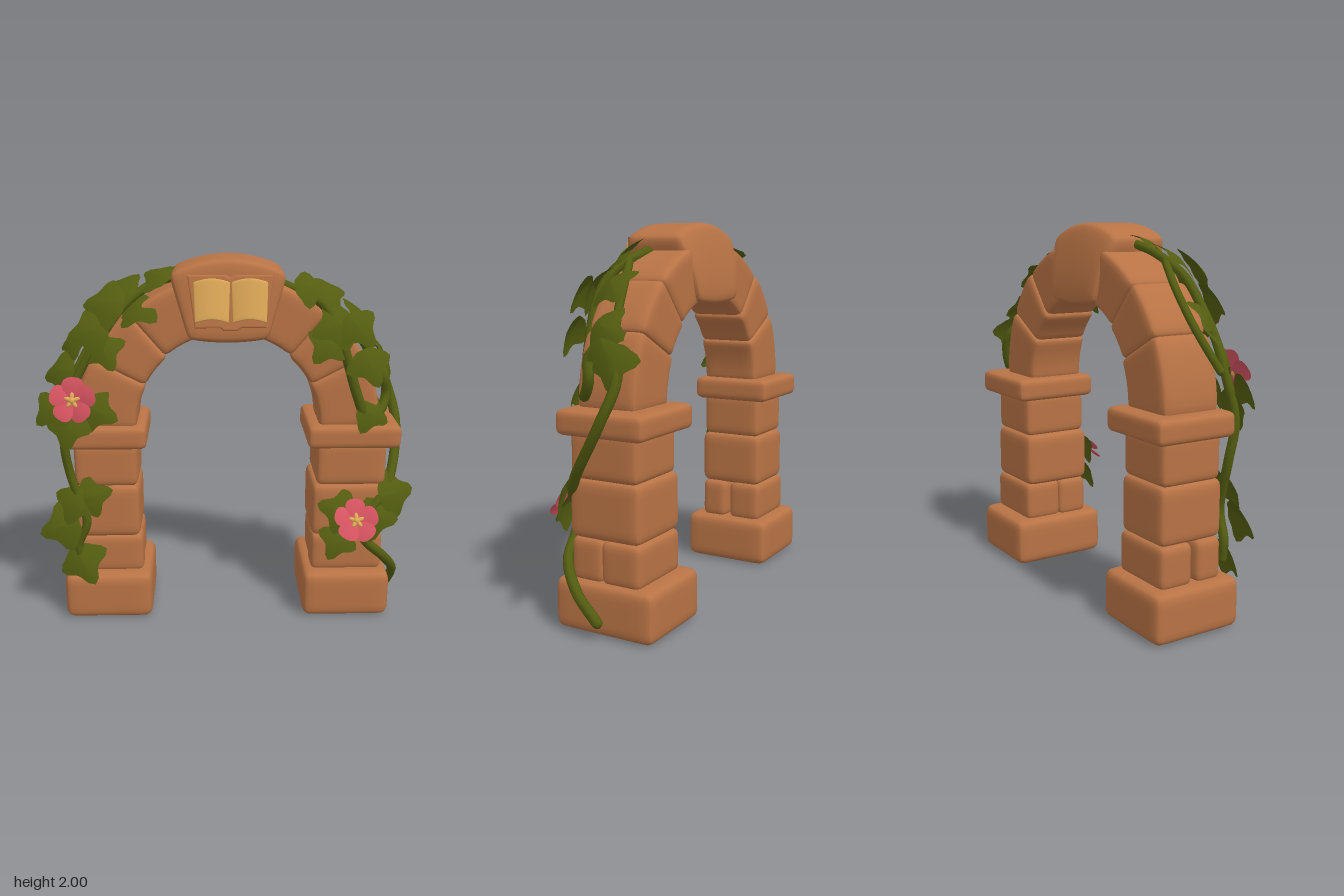
import * as THREE from 'three';
import { mergeVertices } from 'three/addons/utils/BufferGeometryUtils.js';

const mat = (name, color, extra = {}) => Object.assign(new THREE.MeshStandardMaterial({ color, ...extra }), { name });
const deg = Math.PI / 180;

// Moves every vertex by a rule, then smooths the surface.
function warp(geo, rule) {
  geo.deleteAttribute('uv');
  geo.deleteAttribute('normal');
  const p = geo.attributes.position, v = new THREE.Vector3();
  for (let i = 0; i < p.count; i++) {
    rule(v.fromBufferAttribute(p, i));
    p.setXYZ(i, v.x, v.y, v.z);
  }
  const out = mergeVertices(geo, 1e-5);
  out.computeVertexNormals();
  return out;
}

// Soft-edged stone centred on the origin; an optional rule bends it afterwards.
function stoneGeometry(w, h, d, r, rule = () => {}) {
  const half = new THREE.Vector3(w / 2, h / 2, d / 2);
  const core = half.clone().subScalar(r), inner = new THREE.Vector3();
  return warp(new THREE.BoxGeometry(2, 2, 2, 12, 12, 12), v => {
    for (const a of ['x', 'y', 'z']) v[a] = Math.sin(v[a] * Math.PI / 2) * half[a];
    inner.copy(v).clamp(core.clone().negate(), core);
    v.sub(inner);
    if (v.lengthSq() > 1e-12) v.setLength(r);
    v.add(inner);
    rule(v);
  });
}

// Thin sheet whose outline radius depends on the angle from the tip (+y).
const sheetGeometry = (radius, rule) => warp(new THREE.RingGeometry(0.001, 1, 24, 4), v => {
  v.multiplyScalar(radius(Math.abs(Math.atan2(v.x, v.y))));
  rule(v);
});

export function createModel() {
  const model = new THREE.Group();
  model.name = 'floweringArch';
  const stone = mat('terracotta stone', 0xb87345);
  const green = mat('vine green', 0x535c10, { side: THREE.DoubleSide });
  const pink = mat('petal pink', 0xd2525f, { side: THREE.DoubleSide });
  const gold = mat('page gold', 0xe0aa58);

  const add = (name, geo, material, parent = model) => {
    const m = new THREE.Mesh(geo, material);
    m.name = name;
    parent.add(m);
    return m;
  };
  // Stone given by its extents on each axis.
  const block = (name, x0, x1, y0, y1, z0, z1, r = 0.04) =>
    add(name, stoneGeometry(x1 - x0, y1 - y0, z1 - z0, r), stone)
      .position.set((x0 + x1) / 2, (y0 + y1) / 2, (z0 + z1) / 2);

  // Pillars: the right one is slightly shallower, by back and front insets
  for (const side of [1, -1]) {
    const left = side > 0, prefix = left ? 'left' : 'right';
    const back = left ? 0 : 0.02, front = left ? 0 : -0.01;
    const pillar = (part, near, far, y0, y1, z0, z1, r) => block(prefix + part,
      Math.min(side * near, side * far), Math.max(side * near, side * far), y0, y1, z0 + back, z1 + front, r);
    pillar('Base', 0.423, 0.908, 0, 0.265, left ? -0.34 : -0.32, 0.225, 0.05);
    pillar('LowerStoneFront', 0.47, left ? 0.87 : 0.85, 0.25, 0.475, -0.04, 0.145);
    pillar('LowerStoneBack', 0.475, left ? 0.875 : 0.85, 0.25, 0.475, -0.255, -0.03);
    pillar('MiddleStone', left ? 0.467 : 0.482, left ? 0.87 : 0.84, 0.465, 0.77, -0.25, 0.155, 0.045);
    pillar('UpperStone', 0.488, left ? 0.87 : 0.835, 0.76, 1.01, -0.24, 0.145);
    pillar('Capital', 0.435, left ? 0.94 : 0.9, 0.982, 1.11, -0.31, 0.18, 0.035);
  }

  // Wedge stones bent around the arch centre
  const rMid = 0.655;
  for (const side of [1, -1]) {
    [[-1, 28, 0.33], [27, 50, 0.32], [49, 74, 0.3]].forEach(([a, b, w], i) => {
      const mid = (a + b) / 2 * deg, centre = side > 0 ? mid : Math.PI - mid;
      const geo = stoneGeometry(w, (b - a) * deg * rMid, 0.335 - i * 0.008, 0.04, v => {
        const angle = centre + v.y / rMid, r = rMid + v.x;
        v.x = Math.cos(angle) * r;
        v.y = Math.sin(angle) * r;
      });
      add(side > 0 ? 'leftArchStone' : 'rightArchStone', geo, stone).position.set(0.005, 1.1, -0.035);
    });
  }

  // Keystone: wider and shallower at the top, with a domed crown
  add('keystone', stoneGeometry(0.6, 0.43, 0.44, 0.05, v => {
    const up = v.y / 0.43 + 0.5, s = v.x / 0.3;
    v.x *= 0.7 + 0.32 * up;
    v.y -= 0.075 * s * s * up - 0.02 * s * s * (1 - up);
    v.z += v.z < 0 ? 0.085 * up * up * -v.z / 0.22 : -0.035 * up * v.z / 0.22;
  }), stone).position.set(0.005, 1.785, -0.01);

  // Open book carved on the keystone
  const book = new THREE.Group();
  book.name = 'openBook';
  book.position.set(0.015, 1.79, 0.2);
  book.rotation.x = -0.15;
  model.add(book);
  const halfCover = [[0, 0.11], [0.03, 0.125], [0.21, 0.125], [0.175, -0.125], [0.05, -0.125], [0.03, -0.14]];
  const cover = new THREE.Shape([...halfCover, ...halfCover.slice(1).reverse().map(([x, y]) => [-x, y])]
    .map(p => new THREE.Vector2(...p)));
  add('bookCover', new THREE.ExtrudeGeometry(cover, {
    depth: 0.02, bevelSize: 0.008, bevelThickness: 0.008, bevelSegments: 2
  }), stone, book);
  for (const side of [-1, 1]) {
    add('bookPage', stoneGeometry(0.18, 0.205, 0.03, 0.008, v => {
      const t = 0.5 + side * v.x / 0.18;
      v.x *= 1 + 0.35 * v.y;
      v.z += 0.02 * Math.sin(t * Math.PI * 0.9);
      v.y += 0.018 * Math.sin(t * Math.PI) - 0.005;
    }), gold, book).position.set(side * 0.096, 0, 0.03);
  }

  // Three-lobed ivy leaf, arched over its middle
  const bump = (a, at, width) => Math.exp(-(((a - at * deg) / (width * deg)) ** 2));
  const leafGeo = sheetGeometry(
    a => 0.36 + 0.26 * bump(a, 0, 24) + 0.24 * bump(a, 90, 24) + 0.05 * bump(a, 140, 25),
    v => { v.z = 0.08 - 0.3 * v.x * v.x - 0.35 * v.y * v.y - 0.1 * Math.abs(v.x); });

  // Vine along a path, with leaves given by x, y and roll. Each leaf takes its
  // depth from the nearest bit of vine and faces away from the stonework.
  const vine = (name, radius, path, leaves) => {
    const curve = new THREE.CatmullRomCurve3(path.map(p => new THREE.Vector3(...p)));
    add(name, new THREE.TubeGeometry(curve, 80, radius, 8), green);
    for (const end of [path[0], path[path.length - 1]])
      add('vineEnd', new THREE.SphereGeometry(radius, 8, 6), green).position.set(...end);
    const samples = curve.getPoints(120);
    leaves.forEach(([x, y, roll], i) => {
      const gap = p => Math.hypot(p.x - x, p.y - y);
      const near = samples.reduce((best, p) => (gap(p) < gap(best) ? p : best));
      const lean = THREE.MathUtils.clamp(0.65 - 3 * near.z, 0.1, 0.9);
      const facing = new THREE.Vector3(0, 0.35, 1).lerp(
        new THREE.Vector3(x, Math.max(0.2, y - 1), 0).normalize(), lean);
      const leaf = add('leaf', leafGeo, green);
      leaf.position.set(x, y, near.z + 0.02);
      leaf.lookAt(facing.add(leaf.position));
      leaf.rotateZ(roll * deg);
      leaf.scale.setScalar(0.2 + 0.02 * (i % 3));
    });
  };
  vine('leftMainVine', 0.027, [[0.945, 0.09, -0.06], [0.95, 0.22, 0.05], [0.87, 0.35, 0.16], [0.76, 0.46, 0.19],
    [0.71, 0.58, 0.19], [0.8, 0.65, 0.17], [0.89, 0.76, 0.1], [0.955, 1.05, -0.09], [0.91, 1.25, -0.16],
    [0.86, 1.36, -0.13], [0.84, 1.41, -0.04], [0.85, 1.36, 0.03], [0.87, 1.25, 0.02], [0.82, 1.16, 0.08],
    [0.74, 1.17, 0.14], [0.69, 1.28, 0.16], [0.58, 1.62, 0.16], [0.5, 1.76, 0.11], [0.3, 1.85, 0.04]],
  [[0.42, 1.84, -100], [0.67, 1.65, -140], [0.57, 1.66, 110], [0.52, 1.56, 140], [0.74, 1.46, -160],
    [0.88, 1.34, -170], [0.76, 1.18, -120], [0.77, 0.93, 165], [0.91, 0.71, -85], [0.61, 0.47, 150],
    [0.62, 0.64, 70], [0.8, 0.6, -100]]);
  vine('leftBackVine', 0.022, [[0.86, 1.36, -0.1], [0.8, 1.44, -0.08], [0.72, 1.56, -0.05], [0.62, 1.69, -0.02],
    [0.48, 1.79, 0.04]], [[0.53, 1.81, -90], [0.83, 1.49, -110], [0.7, 1.68, -120], [0.87, 1.42, -140]]);
  vine('rightMainVine', 0.024, [[-0.28, 1.89, 0], [-0.4, 1.85, 0.03], [-0.55, 1.74, 0.1], [-0.66, 1.59, 0.13],
    [-0.76, 1.44, 0.14], [-0.84, 1.25, 0.15], [-0.87, 1.05, 0.18], [-0.85, 0.85, 0.16], [-0.77, 0.58, 0.18],
    [-0.82, 0.44, 0.17], [-0.81, 0.34, 0.17]],
  [[-0.35, 1.89, 70], [-0.46, 1.74, 150], [-0.61, 1.77, 95], [-0.64, 1.53, -150], [-0.7, 1.21, -110],
    [-0.7, 1.63, 110], [-0.92, 1.22, 135], [-0.84, 1.13, 175], [-0.89, 0.56, 110], [-0.74, 0.73, -70],
    [-0.82, 0.7, 160], [-0.8, 0.35, -150]]);
  vine('rightBackVine', 0.02, [[-0.46, 1.81, 0.05], [-0.62, 1.68, 0], [-0.75, 1.5, 0.02], [-0.85, 1.3, 0.1]],
    [[-0.8, 1.56, 120], [-0.87, 1.4, 110], [-0.55, 1.82, 80]]);

  // Flowers: five shingled petals around a gold star
  const petalGeo = sheetGeometry(a => 0.45 - 0.04 * Math.cos(3 * a) + 0.04 * Math.cos(a), v => {
    v.y += 0.55;
    v.z = 0.22 * v.y - 0.3 * Math.max(0, v.y - 0.5) ** 2 - 0.25 * v.x * v.x;
  });
  const flower = (name, position, facing, size) => {
    const g = new THREE.Group();
    g.name = name;
    g.position.set(...position);
    g.lookAt(new THREE.Vector3(...facing).add(g.position));
    g.scale.setScalar(size);
    for (let i = 0; i < 5; i++) {
      const petal = add('petal', petalGeo, pink, g);
      petal.rotation.z = i * 72 * deg;
      petal.rotateY(0.18);
      const stamen = add('stamen', new THREE.SphereGeometry(0.12, 10, 8), gold, g);
      stamen.scale.set(0.8, 1.5, 0.7);
      stamen.rotation.z = i * 72 * deg;
      stamen.translateY(0.18);
      stamen.position.z = 0.14;
    }
    add('flowerHeart', new THREE.SphereGeometry(0.15, 12, 8), gold, g).position.z = 0.14;
    model.add(g);
  };
  flower('rightFlower', [-0.81, 1.275, 0.205], [-0.05, 0.3, 1], 0.122);
  flower('leftFlower', [0.695, 0.605, 0.27], [0.05, 0.6, 0.8], 0.122);

  return model;
}
